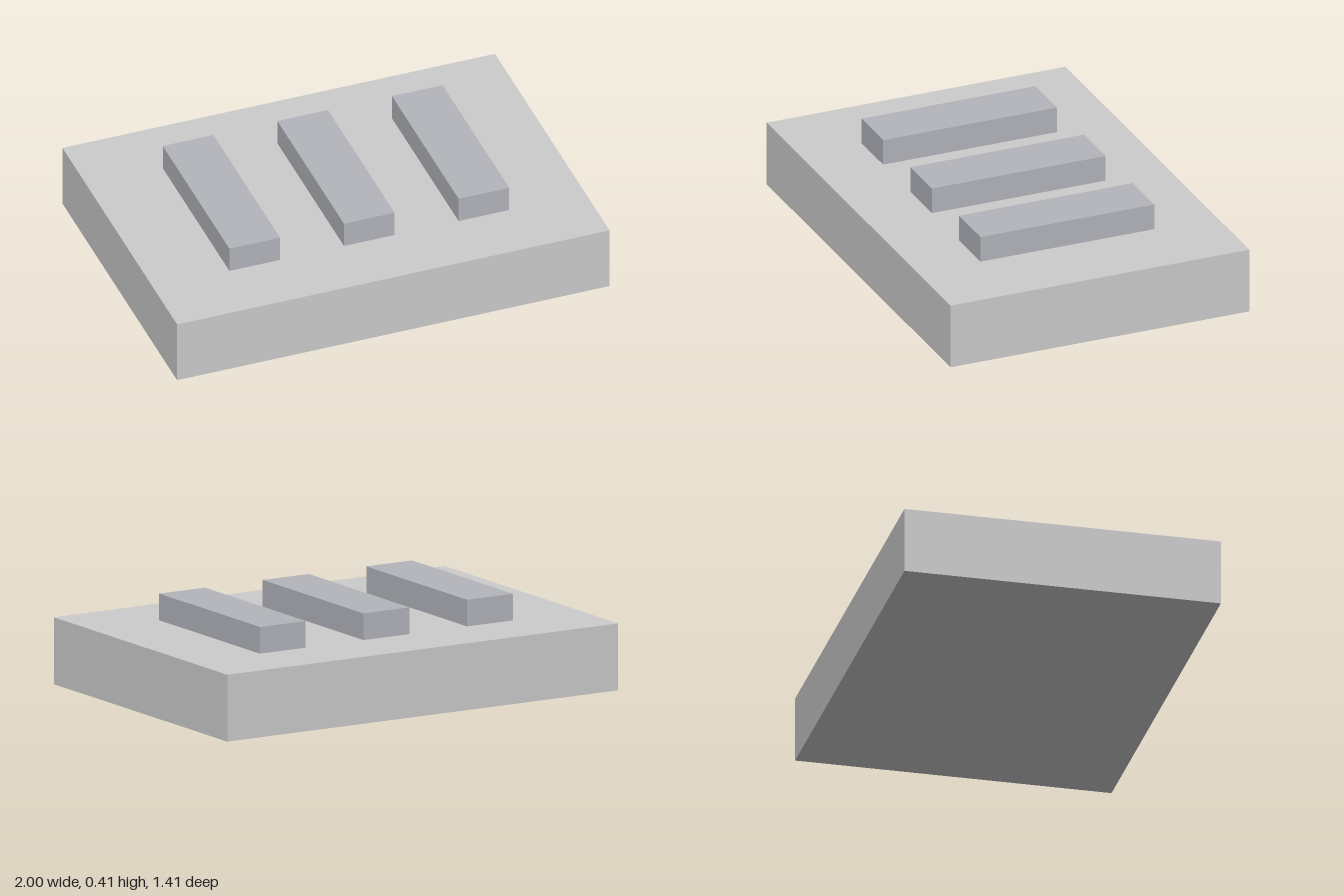
import * as THREE from 'three';

export function createModel() {
  const model = new THREE.Group();
  const slabHeight = 0.296;
  const barHeight = 0.118;

  const slabMaterial = new THREE.MeshStandardMaterial({ color: 0xcccccc });
  const barMaterial = new THREE.MeshStandardMaterial({ color: 0xb3b5bb });

  // Box standing on the given height
  const addBox = (name, [w, h, d], x, bottom, material) => {
    const mesh = new THREE.Mesh(new THREE.BoxGeometry(w, h, d), material);
    mesh.name = name;
    mesh.position.set(x, bottom + h / 2, 0);
    model.add(mesh);
  };

  // Base slab
  addBox('baseSlab', [2, slabHeight, 1.41], 0, 0, slabMaterial);

  // Three raised bars running front to back
  ['rightBar', 'middleBar', 'leftBar'].forEach((name, i) => {
    addBox(name, [0.234, barHeight, 0.82], (i - 1) * 0.53, slabHeight, barMaterial);
  });

  return model;
}
